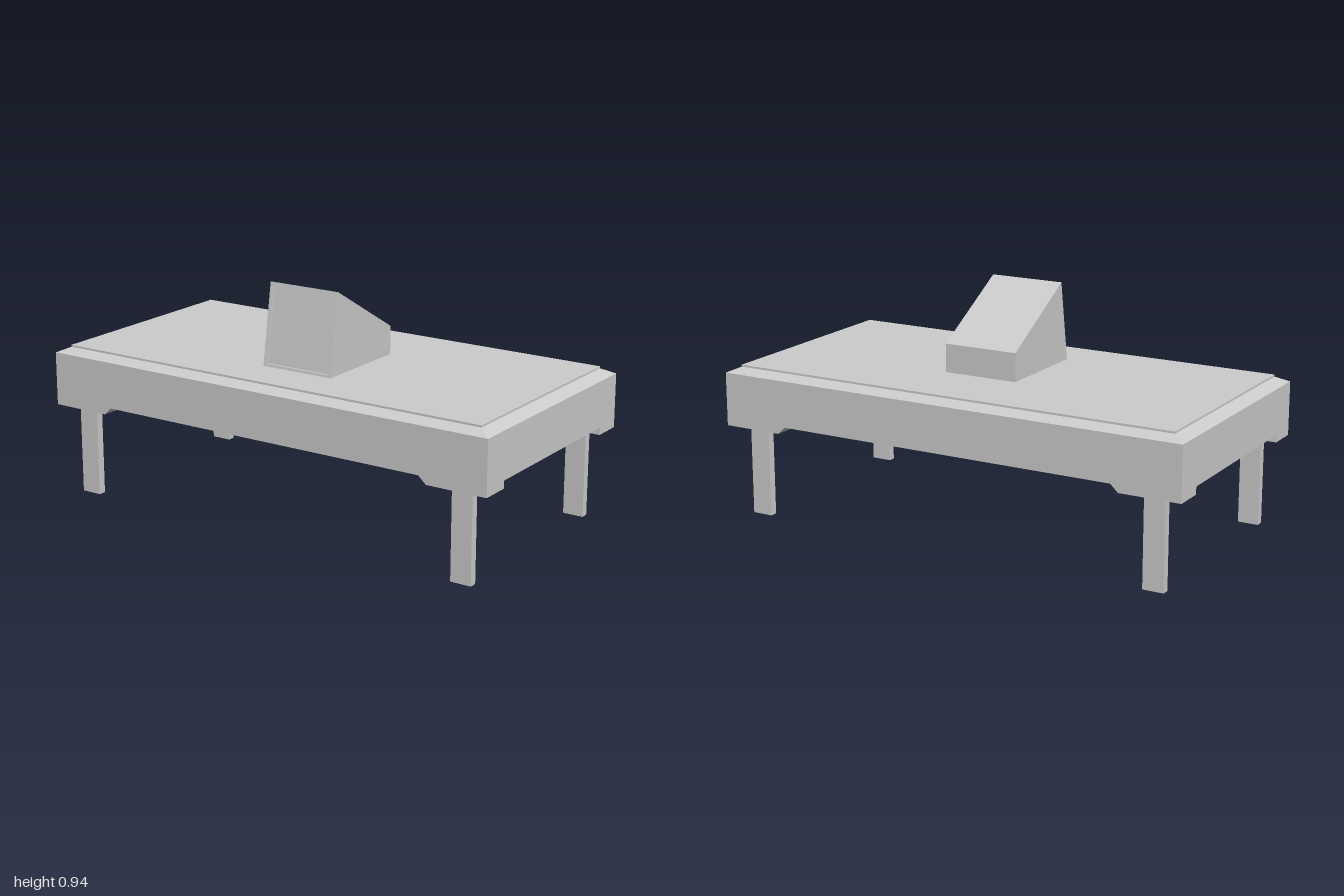
import * as THREE from 'three';

const mat = new THREE.MeshStandardMaterial({ color: 0xcccccc, flatShading: true });

function add(parent, name, geometry) {
  const mesh = new THREE.Mesh(geometry, mat);
  mesh.name = name;
  parent.add(mesh);
  return mesh;
}

// Box given by its ranges
function block(x0, x1, y0, y1, z0, z1) {
  return new THREE.BoxGeometry(x1 - x0, y1 - y0, z1 - z0)
    .translate((x0 + x1) / 2, (y0 + y1) / 2, (z0 + z1) / 2);
}

function extrude(points, depth) {
  const shape = new THREE.Shape(points.map(p => new THREE.Vector2(p[0], p[1])));
  return new THREE.ExtrudeGeometry(shape, { depth, bevelEnabled: false });
}

// Side profile of [z, y] points swept from x0 to x1
function sweepX(points, x0, x1) {
  return extrude(points, x1 - x0).rotateY(-Math.PI / 2).translate(x1, 0, 0);
}

export function createModel() {
  const model = new THREE.Group();
  model.name = 'table';

  const W = 1, D = 0.497, topW = 0.95, topD = 0.457;
  const under = 0.397, edge = 0.585, rim = 0.607, top = 0.615;

  // Thick table body
  add(model, 'tableBody', block(-W, W, under, edge, -D, D));

  // Sloped border: a box with its upper corners drawn inwards
  const border = block(-W, W, edge, rim, -D, D);
  const pos = border.attributes.position;
  for (let i = 0; i < pos.count; i++) {
    if (pos.getY(i) > (edge + rim) / 2) {
      pos.setX(i, Math.sign(pos.getX(i)) * topW);
      pos.setZ(i, Math.sign(pos.getZ(i)) * topD);
    }
  }
  border.computeVertexNormals();
  add(model, 'slopedBorder', border);

  // Raised top panel
  add(model, 'topPanel', block(-topW, topW, rim, top, -topD, topD));

  // Corner brackets with legs
  const foot = 0.367;
  const bracket = [[0.75, foot], [W, foot], [W, under], [0.718, under]];
  for (const sx of [-1, 1]) {
    for (const sz of [-1, 1]) {
      const corner = new THREE.Group();
      corner.name = 'corner';
      add(corner, 'cornerBracket', extrude(bracket, D - 0.374).translate(0, 0, 0.374));
      add(corner, 'leg', block(0.832, 0.918, 0, foot, 0.42, 0.452));
      corner.scale.set(sx, 1, sz);
      model.add(corner);
    }
  }

  // Wedge-shaped monitor: side plates around a core with a recessed front
  const monitor = new THREE.Group();
  monitor.name = 'monitor';
  const low = [0.27, top], high = [0.218, 0.94];
  const back = [[-0.15, 0.73], [-0.15, top]];
  const onFront = (t, depth) => [
    low[0] + (high[0] - low[0]) * t - depth * 0.987,
    low[1] + (high[1] - low[1]) * t - depth * 0.157,
  ];
  const recess = 0.02;
  const core = [
    low, onFront(0.03, 0), onFront(0.03, recess),
    onFront(0.96, recess), onFront(0.96, 0), high, ...back,
  ];
  const x0 = -0.13, x1 = 0.183, wall = 0.01;
  add(monitor, 'monitorCore', sweepX(core, x0 + wall, x1 - wall));
  for (const x of [x0, x1 - wall]) {
    add(monitor, 'monitorSide', sweepX([low, high, ...back], x, x + wall));
  }
  model.add(monitor);

  return model;
}
